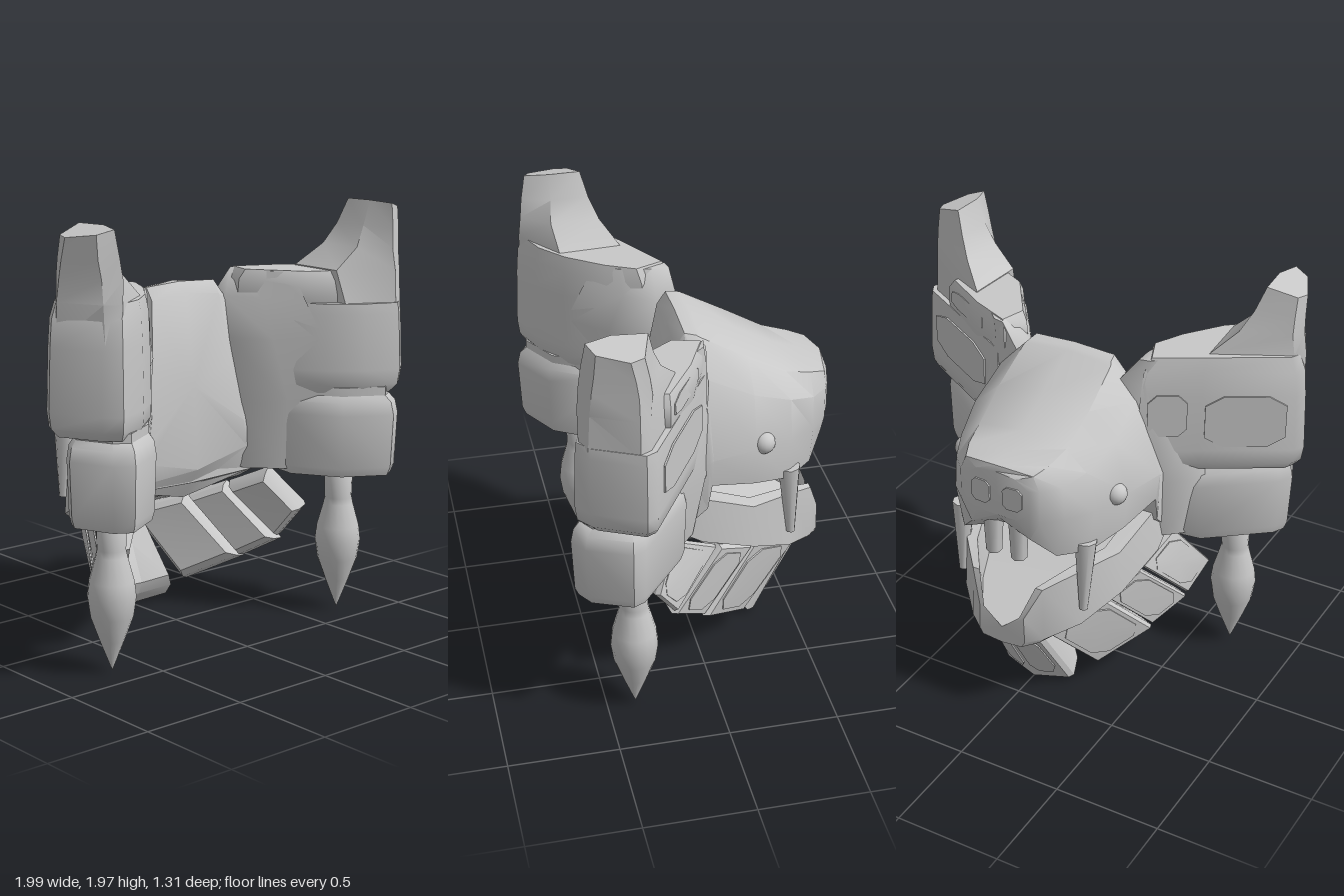
import * as THREE from 'three';
import { toCreasedNormals } from 'three/addons/utils/BufferGeometryUtils.js';

const stone = new THREE.MeshStandardMaterial({ color: 0xc8c8c8 });
stone.name = 'pale grey';

// Skin through rings of equal length, closed with fans; turned outward by signed volume
function loft(rings, crease = 0.6) {
  const tris = [];
  const n = rings[0].length;
  const mid = (r) => [0, 1, 2].map((k) => r.reduce((s, p) => s + p[k], 0) / n);
  const first = rings[0], last = rings[rings.length - 1];
  const c0 = mid(first), c1 = mid(last);
  for (let j = 0; j < n; j++) {
    const k = (j + 1) % n;
    for (let i = 0; i + 1 < rings.length; i++) {
      const a = rings[i], b = rings[i + 1];
      tris.push([a[j], a[k], b[k]], [a[j], b[k], b[j]]);
    }
    tris.push([c0, first[k], first[j]], [c1, last[j], last[k]]);
  }
  const v = (p) => new THREE.Vector3(...p);
  const volume = tris.reduce((s, [a, b, c]) => s + v(a).dot(v(b).cross(v(c))), 0);
  const pos = tris.flatMap((t) => (volume < 0 ? [t[0], t[2], t[1]] : t)).flat();
  const g = new THREE.BufferGeometry();
  g.setAttribute('position', new THREE.Float32BufferAttribute(pos, 3));
  return toCreasedNormals(g, crease);
}

// Half profile from top centre to bottom centre, mirrored; a point may set its own depth
const ring = (z, half) => [
  ...half.map(([x, y, d = z]) => [x, y, d]),
  ...half.slice(1, -1).reverse().map(([x, y, d = z]) => [-x, y, d]),
];

// Horizontal ring from a plan outline, scaled about its centre
function level(plan, y, scale, s, tilt = 0) {
  const cx = plan.reduce((t, p) => t + p[0], 0) / plan.length;
  const cz = plan.reduce((t, p) => t + p[1], 0) / plan.length;
  return plan.map(([x, z]) => {
    const px = cx + (x - cx) * scale;
    return [s * px, y - tilt * (px - 0.8), cz + (z - cz) * scale];
  });
}

// First four corners -> unit normal pointing away from the middle of the head
function facing(q) {
  const [a, b, c, d] = q.map((p) => new THREE.Vector3(...p));
  const n = c.clone().sub(a).cross(d.clone().sub(b)).normalize();
  const m = a.add(b).add(c).add(d).multiplyScalar(0.25).sub(new THREE.Vector3(0, 0.75, 0.1));
  return n.dot(m) < 0 ? n.negate() : n;
}

// Octagonal thin plate lying on a quad
const OCT = [[0.28, 0.1], [0.72, 0.1], [0.9, 0.25], [0.9, 0.75], [0.72, 0.9], [0.28, 0.9], [0.1, 0.75], [0.1, 0.25]];
function panel(q, lift = 0) {
  const n = facing(q).toArray();
  const at = (d) => OCT.map(([u, v]) => [0, 1, 2].map((k) =>
    (q[0][k] * (1 - u) + q[1][k] * u) * (1 - v) + (q[3][k] * (1 - u) + q[2][k] * u) * v + n[k] * d));
  return loft([at(lift - 0.004), at(lift + 0.004)], 0.3);
}

// Bevelled block behind an outline
function slab(q, depth) {
  const n = facing(q).toArray();
  const c = [0, 1, 2].map((k) => q.reduce((s, p) => s + p[k], 0) / q.length);
  const at = (scale, d) => q.map((p) => p.map((e, k) => c[k] + (e - c[k]) * scale - n[k] * d));
  return loft([at(0.93, 0), at(1, 0.025), at(0.93, depth * 0.7), at(0.78, depth)], 0.4);
}

const flip = (q, s) => q.map(([x, y, z]) => [s * x, y, z]);

// Upright quad on the front face of the ear, between two x positions
const earQuad = (x0, x1, y0, y1, s) => {
  const z = (x) => 0.59 * x - 0.261;
  return flip([[x0, y0, z(x0)], [x1, y0, z(x1)], [x1, y1, z(x1)], [x0, y1, z(x0)]], s);
};

export function createModel() {
  const model = new THREE.Group();
  model.name = 'beastHead';
  const add = (name, geometry, x = 0, y = 0, z = 0) => {
    const m = new THREE.Mesh(geometry, stone);
    m.name = name;
    m.position.set(x, y, z);
    model.add(m);
    return m;
  };

  // Skull and snout, from the sloping back to the nose
  add('skull', loft([
    ring(0.17, [[0, 1.58, 0.07], [0.2, 1.56, 0.07], [0.24, 1.25, 0.12], [0.27, 0.97], [0.3, 0.84, 0.16], [0, 0.77, 0.155]]),
    ring(0.04, [[0, 1.63, 0.03], [0.2, 1.62, 0.03], [0.31, 1.48], [0.45, 1.08, 0.08], [0.45, 0.73, 0.12], [0, 0.62, 0.05]]),
    ring(-0.02, [[0, 1.63], [0.21, 1.61], [0.34, 1.47], [0.48, 1.11], [0.46, 0.86], [0, 0.8]]),
    ring(-0.04, [[0, 1.62], [0.22, 1.6], [0.35, 1.46], [0.48, 1.12], [0.46, 0.98], [0, 1.0]]),
    ring(-0.25, [[0, 1.51], [0.23, 1.48], [0.36, 1.36], [0.43, 1.12], [0.41, 0.93], [0, 0.98]]),
    ring(-0.43, [[0, 1.41], [0.22, 1.38], [0.32, 1.29], [0.36, 1.1], [0.34, 0.89], [0, 0.98]]),
    ring(-0.55, [[0, 1.37], [0.2, 1.35], [0.27, 1.26], [0.28, 1.1], [0.24, 0.9], [0, 1.0]]),
    ring(-0.625, [[0, 1.35, -0.65], [0.17, 1.33], [0.2, 1.26], [0.2, 1.1], [0.15, 1.0], [0, 1.06]]),
    ring(-0.655, [[0, 1.32], [0.1, 1.31], [0.16, 1.26, -0.645], [0.16, 1.14, -0.645], [0.1, 1.1], [0, 1.1]]),
  ]));

  // Trough-shaped lower jaw: depth, half width, floor, rim, underside
  add('lowerJaw', loft([
    [0.11, 0.45, 0.8, 0.88, 0.71], [0, 0.46, 0.74, 0.9, 0.65], [-0.25, 0.41, 0.63, 0.79, 0.55],
    [-0.45, 0.31, 0.55, 0.77, 0.46], [-0.58, 0.19, 0.5, 0.71, 0.41], [-0.635, 0.12, 0.48, 0.56, 0.4],
  ].map(([z, w, floor, rim, under]) =>
    ring(z, [[0, floor], [w * 0.7, floor], [w * 0.77, rim], [w * 0.96, rim], [w, under + 0.03], [w * 0.85, under], [0, under - 0.01]]))));

  // Ear plans as [x, z]
  const upper = [[0.36, -0.05], [0.6, 0.09], [0.97, 0.31], [0.995, 0.36], [0.89, 0.58], [0.82, 0.635], [0.66, 0.57], [0.52, 0.45], [0.38, 0.26], [0.3, 0.1]];
  const lower = [[0.45, 0.09], [0.6, 0.11], [0.9, 0.35], [0.93, 0.41], [0.85, 0.6], [0.77, 0.65], [0.56, 0.53], [0.42, 0.3]];
  const crest = [[0.33, -0.04], [0.55, 0.06], [0.8, 0.22], [0.7, 0.5], [0.48, 0.38], [0.29, 0.1]];
  const beard = [
    [[0.17, 0.43, -0.53], [0.32, 0.53, -0.28], [0.46, 0.24, -0.02], [0.28, 0.11, -0.24]],
    [[0.33, 0.53, -0.27], [0.42, 0.61, -0.1], [0.55, 0.35, 0.15], [0.45, 0.25, -0.01]],
    [[0.42, 0.62, -0.08], [0.47, 0.72, 0.14], [0.62, 0.53, 0.24], [0.56, 0.38, 0.14]],
  ];

  for (const s of [1, -1]) {
    const side = s > 0 ? 'left' : 'right';
    const put = (name, ...rest) => add(side + name, ...rest);

    // Cheek blending the skull into the ear, its ridge moving outward as it descends
    put('Cheek', loft([
      level([[0.3, 0], [0.46, 0.05], [0.56, 0.14], [0.57, 0.4], [0.42, 0.27], [0.3, 0.14]], 0.73, 1, s),
      level([[0.3, -0.1], [0.49, 0], [0.62, 0.14], [0.6, 0.48], [0.42, 0.31], [0.26, 0.14]], 1.05, 1, s),
      level([[0.27, -0.06], [0.42, -0.02], [0.55, 0.09], [0.52, 0.44], [0.36, 0.27], [0.24, 0.1]], 1.35, 1, s),
      level([[0.26, -0.04], [0.38, -0.03], [0.48, 0.05], [0.46, 0.37], [0.34, 0.2], [0.25, 0.06]], 1.54, 1, s),
      level([[0.35, -0.02], [0.4, -0.01], [0.47, 0.06], [0.45, 0.3], [0.38, 0.21], [0.35, 0.06]], 1.66, 1, s),
    ], 1));

    // Ear: the left has a separate crest, the right runs up in one block
    const top = s > 0 ? [[1.47, 0.97], [1.52, 0.95]] : [[1.48, 0.97], [1.6, 0.94], [1.67, 0.86]];
    put('UpperEarBlock', loft([[1.1, 0.86], [1.14, 0.97], [1.21, 1], ...top].map(([y, k]) => level(upper, y, k, s)), 0.8));
    if (s > 0) {
      put('EarCrest', loft([[1.5, 0.95], [1.55, 1], [1.62, 0.98], [1.665, 0.86]].map(([y, k]) => level(crest, y, k, s)), 0.8));
    }
    put('EarWaist', loft([1.03, 1.13].map((y) => level(lower, y, 0.84, s))));
    put('LowerEarBlock', loft([[0.71, 0.9], [0.75, 0.96], [1.0, 1], [1.06, 0.95], [1.1, 0.8]]
      .map(([y, k]) => level(lower, y, k, s)), 0.8));
    put('Horn', loft([
      level([[0.58, 0.12], [0.94, 0.33], [0.965, 0.38], [0.87, 0.58], [0.81, 0.61], [0.6, 0.5]], 1.5, 1, s),
      level([[0.6, 0.16], [0.93, 0.33], [0.965, 0.38], [0.87, 0.57], [0.8, 0.61], [0.58, 0.45]], 1.67, 1, s),
      level([[0.7, 0.24], [0.92, 0.32], [0.95, 0.38], [0.87, 0.56], [0.79, 0.6], [0.69, 0.47]], 1.77, 1, s),
      level([[0.75, 0.28], [0.92, 0.33], [0.945, 0.39], [0.88, 0.55], [0.8, 0.59], [0.74, 0.46]], 1.86, 1, s, 0.1),
      level([[0.79, 0.31], [0.92, 0.35], [0.94, 0.41], [0.88, 0.54], [0.81, 0.57], [0.78, 0.46]], 1.975, 1, s, 0.28),
    ]));

    // Shallow plates on the ear and nose
    if (s > 0) {
      put('EarPanel', panel(earQuad(0.42, 0.96, 1.22, 1.48, s), 0.003));
      put('CrestPanel', panel(flip([[0.46, 1.54, 0.018], [0.8, 1.54, 0.215], [0.79, 1.64, 0.22], [0.46, 1.64, 0.025]], s), 0.003));
    } else {
      put('OuterEarPanel', panel(earQuad(0.58, 0.97, 1.2, 1.52, s), 0.003));
      put('InnerEarPanel', panel(earQuad(0.38, 0.57, 1.26, 1.52, s), 0.003));
    }
    put('NosePanel', panel(flip([[0.02, 1.13, -0.655], [0.14, 1.13, -0.648], [0.14, 1.27, -0.648], [0.02, 1.27, -0.655]], s), 0.002));

    // Eye stud
    put('Eye', new THREE.SphereGeometry(0.052, 16, 12), s * 0.39, 1.13, -0.29);

    // Fang and front tooth
    put('Fang', new THREE.CylinderGeometry(0.052, 0.02, 0.36, 8), s * 0.32, 0.76, -0.44).rotation.x = 0.05;
    put('FrontTooth', new THREE.CylinderGeometry(0.048, 0.036, 0.24, 6), s * 0.065, 0.97, -0.58);

    // Beard plates fanning back along the jaw
    beard.forEach((q, i) => {
      put('BeardPlate' + (i + 1), slab(flip(q, s), 0.12));
      put('BeardPanel' + (i + 1), panel(flip(q, s), 0.002));
    });

    // Half of the chin plate's facing
    put('ChinPanel', panel(flip([[0, 0.4, -0.59], [0.11, 0.41, -0.55], [0.16, 0.05, -0.33], [0, 0.03, -0.37]], s), 0.003));

    // Hanging pendant
    put('Pendant', new THREE.LatheGeometry([
      [0, 0.02], [0.055, 0.16], [0.095, 0.27], [0.108, 0.36], [0.1, 0.43], [0.07, 0.54], [0.064, 0.57], [0.068, 0.74], [0, 0.74],
    ].map(([r, y]) => new THREE.Vector2(r, y)), 16), s * 0.69 + 0.01, 0, 0.37);
  }

  // Central chin plate, ridged down the middle
  add('chinPlate', slab([
    [-0.12, 0.43, -0.55], [0, 0.42, -0.6], [0.12, 0.43, -0.55],
    [0.18, 0.02, -0.31], [0, -0.005, -0.355], [-0.18, 0.02, -0.31],
  ], 0.15));

  return model;
}
